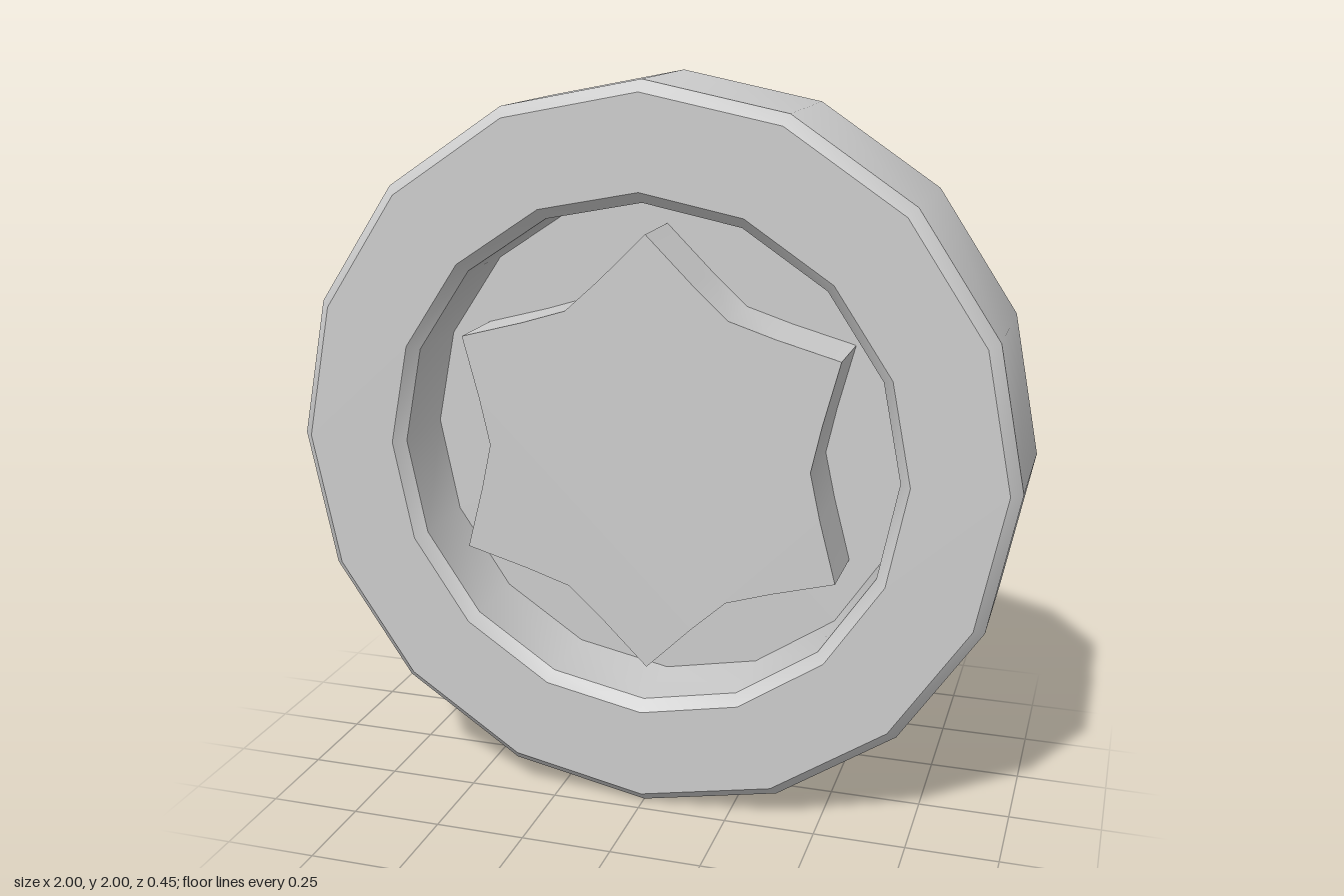
import * as THREE from 'three';
import { toCreasedNormals } from 'three/addons/utils/BufferGeometryUtils.js';

const material = new THREE.MeshStandardMaterial({ color: 0xcccccc });

function addPart(group, name, geometry) {
  const mesh = new THREE.Mesh(toCreasedNormals(geometry, 0.5), material);
  mesh.name = name;
  mesh.position.y = 1;
  group.add(mesh);
}

export function createModel() {
  const group = new THREE.Group();
  group.name = 'boltHead';

  // Sixteen-sided head: chamfered rims, closed back, round recess in the front
  const profile = [
    [0, -0.225], [0.96, -0.225], [1, -0.185], [1, 0.195], [0.97, 0.225],
    [0.72, 0.225], [0.69, 0.195], [0.69, -0.03], [0, -0.03],
  ].map(([r, z]) => new THREE.Vector2(r, z));
  addPart(group, 'head', new THREE.LatheGeometry(profile, 16).rotateX(Math.PI / 2));

  // Six-pointed star standing on the recess floor, with slightly hollow flanks
  const radii = [0.605, 0.495, 0.45, 0.495];
  const outline = [];
  for (let i = 0; i < 24; i++) {
    const angle = Math.PI / 2 + (i * Math.PI) / 12;
    const r = radii[i % 4];
    outline.push(new THREE.Vector2(r * Math.cos(angle), r * Math.sin(angle)));
  }
  const star = new THREE.ExtrudeGeometry(new THREE.Shape(outline), { depth: 0.2, bevelEnabled: false });
  addPart(group, 'star', star.translate(0, 0, -0.03));

  return group;
}
